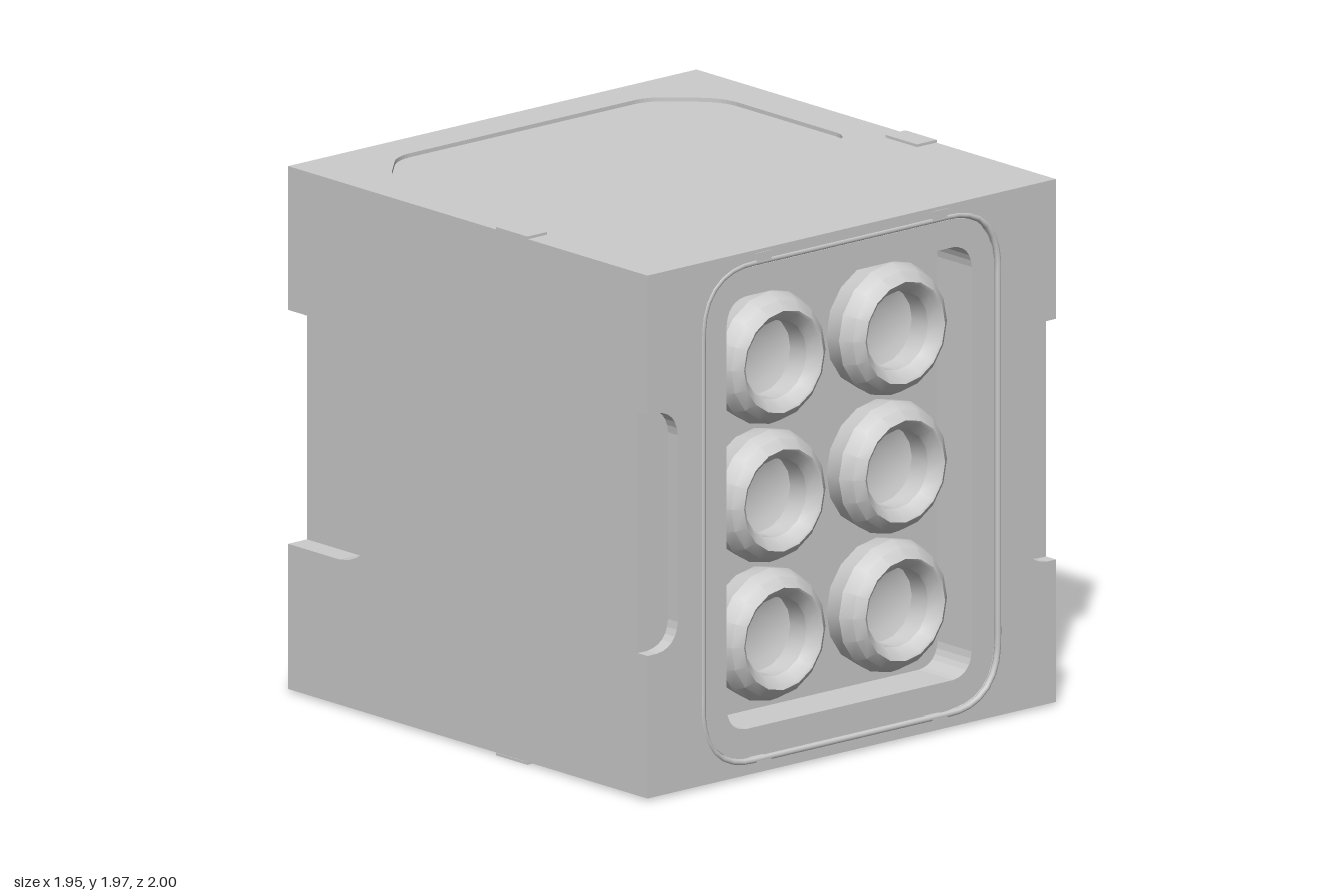
import * as THREE from 'three';
import { toCreasedNormals } from 'three/addons/utils/BufferGeometryUtils.js';

const grey = new THREE.MeshStandardMaterial({ color: 0xcccccc });
const CY = 0.982, BOTTOM = 0.01, TOP = 1.955;

// Closed outline from corners [x, y, radius]
function outline(corners, Type = THREE.Shape) {
  const path = new Type();
  corners.forEach(([x, y, r = 0], i) => {
    const n = corners.length, p = corners[(i + n - 1) % n], q = corners[(i + 1) % n];
    const towards = ([tx, ty]) => {
      const d = Math.hypot(tx - x, ty - y);
      return [x + (tx - x) * r / d, y + (ty - y) * r / d];
    };
    const a = towards(p), b = towards(q);
    if (i) path.lineTo(...a); else path.moveTo(...a);
    if (r) path.quadraticCurveTo(x + (a[0] + b[0] - 2 * x) * 0.08, y + (a[1] + b[1] - 2 * y) * 0.08, ...b);
  });
  path.closePath();
  return path;
}
const rect = (hx, hy, r = 0, cy = CY) =>
  [[-hx, cy - hy, r], [hx, cy - hy, r], [hx, cy + hy, r], [-hx, cy + hy, r]];
const octagon = (h, c) => [
  [-h + c, CY - h], [h - c, CY - h], [h, CY - h + c], [h, CY + h - c],
  [h - c, CY + h], [-h + c, CY + h], [-h, CY + h - c], [-h, CY - h + c]];

// Plate with an optional hole
function plate(corners, hole, depth) {
  const shape = outline(corners);
  if (hole) shape.holes.push(outline(hole, THREE.Path));
  return new THREE.ExtrudeGeometry(shape, { depth, bevelEnabled: false, curveSegments: 6 });
}

export function createModel() {
  const model = new THREE.Group();
  const add = (name, geometry, x = 0, y = 0, z = 0) => {
    const mesh = new THREE.Mesh(geometry, grey);
    mesh.name = name;
    mesh.position.set(x, y, z);
    model.add(mesh);
    return mesh;
  };
  const slab = (name, corners, hole, z0, z1) => add(name, plate(corners, hole, z1 - z0), 0, 0, z0);
  const bead = (name, hx, hy, r, z) => {
    const pts = outline(rect(hx, hy, r)).getSpacedPoints(96).slice(0, -1)
      .map(p => new THREE.Vector3(p.x, p.y, z));
    add(name, new THREE.TubeGeometry(new THREE.CatmullRomCurve3(pts, true), 120, 0.012, 8, true));
  };

  // Solid core, its ends form the floors of both recesses
  const inner = rect(0.885, 0.958);
  slab('core', inner, null, -0.79, 0.8);

  // Front: stepped frame around a deep recess, grips cut in both sides
  const well = rect(0.585, 0.805, 0.09);
  slab('frontWell', inner, well, 0.8, 0.945);
  slab('frontPlate', [
    [-0.975, BOTTOM], [0.975, BOTTOM], [0.975, 0.54], [0.83, 0.54, 0.1], [0.83, 1.435, 0.1], [0.975, 1.435],
    [0.975, TOP], [-0.975, TOP], [-0.975, 1.435], [-0.83, 1.435, 0.1], [-0.83, 0.54, 0.1], [-0.975, 0.54],
  ], rect(0.71, 0.93, 0.21), 0.945, 0.998);
  slab('frontFrame', rect(0.69, 0.91, 0.19), well, 0.945, 0.985);
  bead('frontBead', 0.705, 0.925, 0.205, 0.99);
  for (const x of [-0.42, 0.42]) for (const y of [0.04, 1.925])
    add('frontClip', new THREE.BoxGeometry(0.07, 0.035, 0.05), x, y, 0.976);

  // Six open tubes, two across and three high
  const profile = [[0.235, 0.79], [0.247, 0.88], [0.225, 0.93], [0.19, 0.96], [0.18, 0.955], [0.147, 0.915],
    [0.145, 0.83], [0.11, 0.815], [0.06, 0.803], [0, 0.801]].map(p => new THREE.Vector2(...p));
  const tube = toCreasedNormals(new THREE.LatheGeometry(profile, 16).rotateX(Math.PI / 2), 0.5);
  for (const x of [-0.29, 0.29]) for (const y of [0.47, 0.985, 1.5]) add('tube', tube, x, y);

  // Sides, with a grip opening to the back
  const side = plate([
    [0.945, BOTTOM], [0.945, TOP], [-0.95, TOP], [-0.95, 1.42], [-0.49, 1.42, 0.18],
    [-0.49, 0.55, 0.18], [-0.95, 0.55], [-0.95, BOTTOM],
  ], null, 0.09).rotateY(-Math.PI / 2);
  add('leftSide', side, 0.975);
  add('rightSide', side, -0.885);

  // Top and bottom, each with a shallow sunken panel
  const lid = plate(
    [[-0.885, -0.95], [0.885, -0.95], [0.885, 0.945], [-0.885, 0.945]],
    [[-0.6, -0.79, 0.06], [0.6, -0.79, 0.06], [0.795, -0.6, 0.07], [0.795, 0.095, 0.08],
      [-0.795, 0.095, 0.08], [-0.795, -0.6, 0.07]], 0.015).rotateX(Math.PI / 2);
  add('topPlate', lid, 0, TOP);
  add('bottomPlate', lid, 0, BOTTOM + 0.015);
  for (const x of [-0.93, 0.93]) for (const y of [0.005, 1.96])
    add('edgeTab', new THREE.BoxGeometry(0.094, 0.01, 0.17), x, y, 0.265);

  // Back: grooved border, square frame and eight-sided recess
  slab('backWell', inner, octagon(0.58, 0.1), -0.925, -0.79);
  slab('backPlate', rect(0.885, 0.9725), rect(0.83, 0.86, 0.16), -0.95, -0.925);
  bead('backBead', 0.825, 0.855, 0.155, -0.943);
  slab('backFrame', rect(0.77, 0.8, 0.11), rect(0.665, 0.655), -0.945, -0.925);
  slab('recessFrame', octagon(0.655, 0.13), octagon(0.58, 0.1), -0.94, -0.925);

  // Two handle bars on brackets
  const bar = toCreasedNormals(new THREE.CylinderGeometry(0.055, 0.055, 1.08, 12).rotateZ(Math.PI / 2), 0.6);
  for (const y of [0.765, 1.2]) {
    add('handleBar', bar, 0, y, -0.945);
    for (const x of [-0.42, 0.42])
      add('barBracket', new THREE.BoxGeometry(0.13, 0.06, 0.16), x, y, -0.865);
  }
  return model;
}
